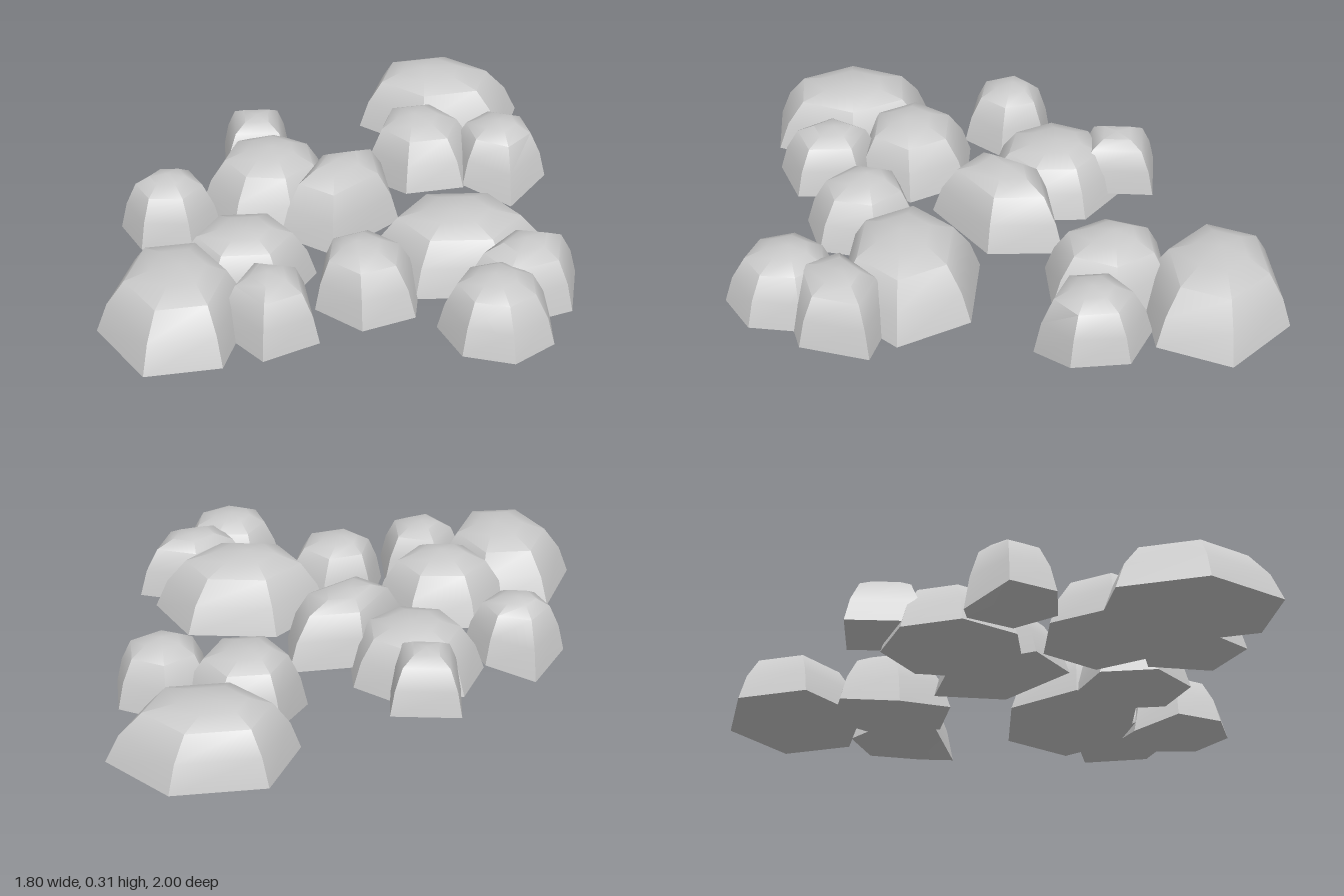
import * as THREE from 'three';
import { toCreasedNormals } from 'three/addons/utils/BufferGeometryUtils.js';

// Dome section from base to crown: [share of footprint, share of height]
const PROFILE = [[1, 0], [0.87, 0.45], [0.66, 0.82], [0.36, 0.96]];

// Each stone: footprint centre [x, z], radii [x, z], turn of its first corner in
// degrees and crown [x, y, z]. dip lowers the first corner, shear slants the footprint.
const STONES = [
  { name: 'backLargeStone', at: [0.56, -0.75], size: [0.34, 0.28], turn: -6, crown: [0.5, 0.29, -0.77], shear: 0.1 },
  { name: 'backMiddleStone', at: [0.42, -0.38], size: [0.23, 0.25], turn: 176, crown: [0.39, 0.28, -0.4], dip: 0.04 },
  { name: 'backSideStone', at: [0.71, -0.31], size: [0.195, 0.21], turn: 85, crown: [0.71, 0.28, -0.3], dip: 0.06 },
  { name: 'upperSmallStone', at: [-0.23, -0.455], size: [0.18, 0.2], sides: 4, turn: 50, crown: [-0.23, 0.295, -0.45], base: 0.09 },
  { name: 'innerStone', at: [-0.21, -0.2], size: [0.26, 0.27], sides: 7, turn: 25, crown: [-0.2, 0.28, -0.22] },
  { name: 'centreStone', at: [0.05, 0], size: [0.23, 0.26], sides: 5, turn: 12, crown: [0.02, 0.315, -0.02], base: 0.075, shear: -0.4 },
  { name: 'outerSmallStone', at: [-0.6, -0.04], size: [0.19, 0.185], turn: 250, crown: [-0.61, 0.285, -0.06], dip: 0.06 },
  { name: 'frontLargeStone', at: [0.43, 0.34], size: [0.34, 0.28], turn: 7, crown: [0.4, 0.3, 0.36] },
  { name: 'sideLargeStone', at: [-0.635, 0.585], size: [0.27, 0.345], turn: -2, crown: [-0.6, 0.295, 0.58] },
  { name: 'sideMiddleStone', at: [-0.36, 0.33], size: [0.26, 0.24], turn: 4, crown: [-0.36, 0.285, 0.36] },
  { name: 'frontSideStone', at: [-0.3, 0.66], size: [0.185, 0.21], sides: 5, turn: 35, crown: [-0.31, 0.28, 0.64] },
  { name: 'frontMiddleStone', at: [0.06, 0.52], size: [0.205, 0.22], turn: 45, crown: [0.02, 0.285, 0.5] },
  { name: 'frontCornerStone', at: [0.475, 0.775], size: [0.21, 0.22], sides: 7, turn: 240, crown: [0.46, 0.28, 0.76], dip: 0.04 },
  { name: 'outerFrontStone', at: [0.61, 0.59], size: [0.23, 0.21], sides: 5, turn: 36, crown: [0.62, 0.285, 0.56], shear: -0.3 },
];

// Domed stone: rings shrink from a polygon footprint towards the crown
function stoneGeometry({ at, size, turn, crown, sides = 6, base = 0.06, dip = 0, shear = 0 }) {
  const [cx, cy, cz] = crown;
  const positions = [];
  const index = [];
  for (const [share, rise] of PROFILE) {
    for (let i = 0; i < sides; i++) {
      const angle = THREE.MathUtils.degToRad(turn + (i * 360) / sides);
      const dz = size[1] * Math.sin(angle);
      const x = at[0] + size[0] * Math.cos(angle) + shear * dz;
      const y = i === 0 ? base - dip : base;
      const z = at[1] + dz;
      positions.push(cx + (x - cx) * share, y + (cy - y) * rise, cz + (z - cz) * share);
    }
  }
  const top = positions.length / 3;
  positions.push(cx, cy, cz, cx, base, cz);
  const lastRing = (PROFILE.length - 1) * sides;
  for (let i = 0; i < sides; i++) {
    const j = (i + 1) % sides;
    for (let r = 0; r < lastRing; r += sides) {
      index.push(r + i, r + sides + i, r + j, r + j, r + sides + i, r + sides + j);
    }
    index.push(lastRing + i, top, lastRing + j); // crown
    index.push(i, j, top + 1); // underside
  }
  const geometry = new THREE.BufferGeometry();
  geometry.setAttribute('position', new THREE.Float32BufferAttribute(positions, 3));
  geometry.setIndex(index);
  return toCreasedNormals(geometry, 0.65);
}

export function createModel() {
  const group = new THREE.Group();
  group.name = 'stoneCluster';
  const stone = new THREE.MeshStandardMaterial({ color: 0xcacaca });
  stone.name = 'pale grey stone';
  for (const spec of STONES) {
    const mesh = new THREE.Mesh(stoneGeometry(spec), stone);
    mesh.name = spec.name;
    group.add(mesh);
  }
  return group;
}
